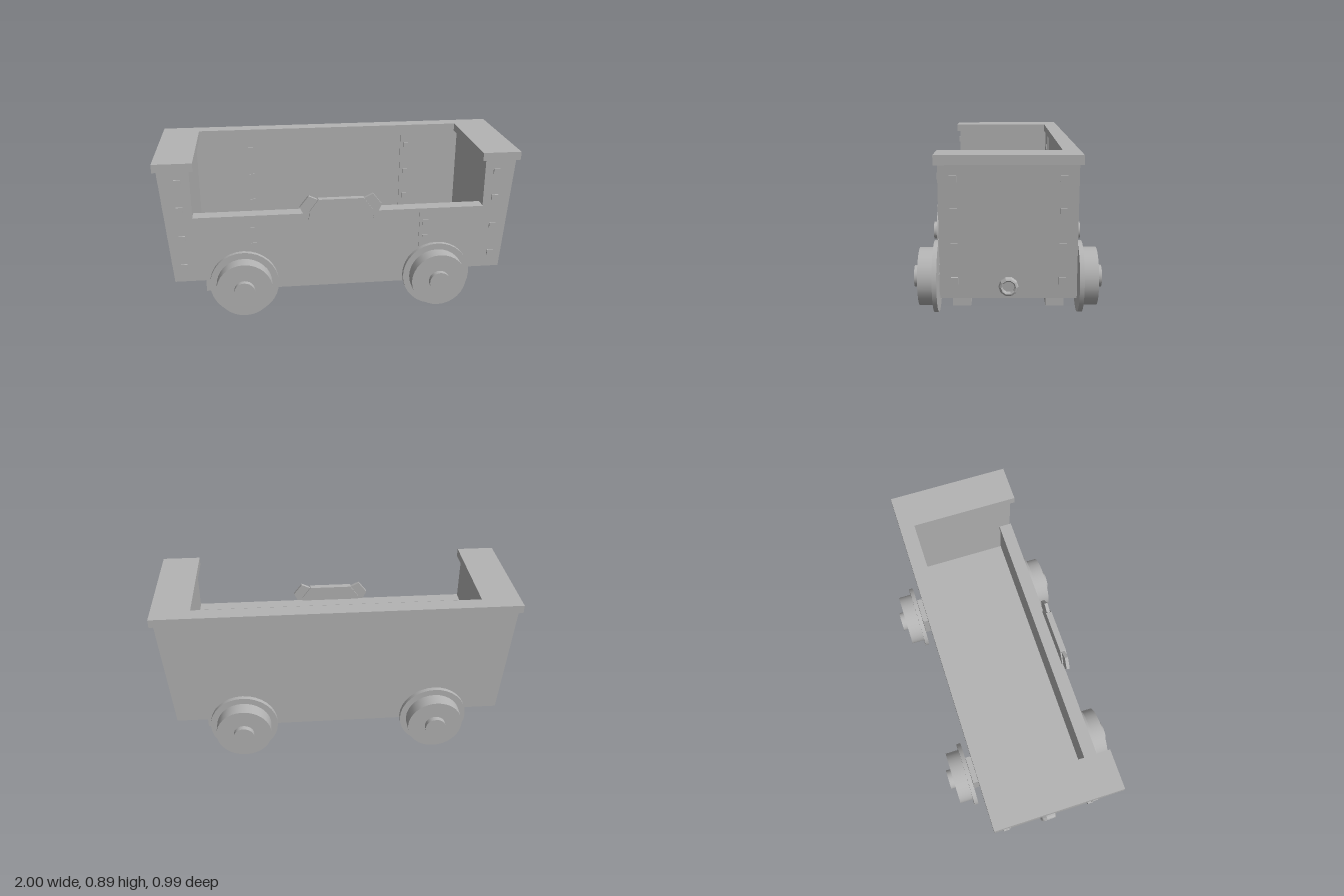
import * as THREE from 'three';

export function createModel() {
  const group = new THREE.Group();
  const grey = new THREE.MeshStandardMaterial({ color: 0xb4b4b4 });
  grey.name = 'grey';

  const add = (name, geometry, x = 0, y = 0, z = 0) => {
    const mesh = new THREE.Mesh(geometry, grey);
    mesh.name = name;
    mesh.position.set(x, y, z);
    group.add(mesh);
    return mesh;
  };
  // Box given by its limits on each axis
  const block = (name, x0, x1, y0, y1, z0, z1) =>
    add(name, new THREE.BoxGeometry(x1 - x0, y1 - y0, z1 - z0),
      (x0 + x1) / 2, (y0 + y1) / 2, (z0 + z1) / 2);
  // Flat outline in x, y with thickness from z0 to z1
  const plate = (name, points, z0, z1) => {
    const shape = new THREE.Shape(points.map(([x, y]) => new THREE.Vector2(x, y)));
    return add(name, new THREE.ExtrudeGeometry(shape, { depth: z1 - z0, bevelEnabled: false }), 0, 0, z0);
  };

  const bottom = 0.196, top = 0.85, ledgeY = 0.58, innerX = 0.81;
  const lowX = 0.932, highX = 0.981;
  const slope = (highX - lowX) / (top - bottom);
  const endX = y => lowX + (y - bottom) * slope;

  // Tub walls and floor
  plate('backWall', [[-lowX, bottom], [lowX, bottom], [highX, top], [-highX, top]], -0.328, -0.272);
  plate('frontWall', [[-lowX, bottom], [lowX, bottom], [highX, top], [innerX, top],
    [innerX, 0.555], [-innerX, 0.555], [-innerX, top], [-highX, top]], 0.27, 0.328);
  block('floor', -innerX, innerX, bottom, 0.33, -0.272, 0.27);
  block('frontLedge', -innerX, innerX, 0.555, ledgeY, 0.262, 0.336);

  // Rim along the back and over both ends
  block('backRim', -0.787, 0.787, top, 0.896, -0.346, -0.262);

  for (const s of [-1, 1]) {
    const endPoints = [[s * innerX, bottom], [s * lowX, bottom], [s * highX, top], [s * innerX, top]];
    plate('endWall', s > 0 ? endPoints : endPoints.reverse(), -0.272, 0.27);
    block('endRim', s > 0 ? 0.787 : -1, s > 0 ? 1 : -0.787, top, 0.896, -0.346, 0.346);

    // Rivets on the corner of the front and on the sloping ends
    for (const y of [0.785, 0.628, 0.458, 0.287]) {
      block('frontRivet', s * 0.875 - 0.018, s * 0.875 + 0.018, y - 0.016, y + 0.016, 0.32, 0.338);
      for (const z of [-0.257, 0.257]) {
        const rivet = add('endRivet', new THREE.BoxGeometry(0.02, 0.034, 0.034), s * endX(y), y, z);
        rivet.rotation.z = -s * Math.atan(slope);
      }
    }

    // Riveted straps on the front and inside the back wall
    const x = s * 0.483;
    block('frontStrap', x - 0.034, x + 0.034, bottom + 0.004, 0.557, 0.32, 0.333);
    block('backStrap', x - 0.034, x + 0.034, 0.32, top, -0.28, -0.265);
    for (const y of [0.495, 0.402, 0.31])
      block('strapRivet', x - 0.015, x + 0.015, y - 0.015, y + 0.015, 0.325, 0.339);
    for (const y of [0.77, 0.597, 0.43])
      block('strapRivet', x - 0.015, x + 0.015, y - 0.015, y + 0.015, -0.27, -0.257);

    // Coupling ring on each end
    const ring = new THREE.LatheGeometry([[0.03, 0], [0.03, 0.02], [0.036, 0.024], [0.044, 0.02], [0.048, 0.01], [0.048, -0.005]]
      .map(([r, h]) => new THREE.Vector2(r, h)).reverse(), 10).toNonIndexed();
    ring.computeVertexNormals();
    const coupling = add('couplingRing', ring, s * endX(0.258), 0.258, 0);
    coupling.rotation.z = -s * (Math.PI / 2 + Math.atan(slope));

    // Long beams under the floor
    block('underBeam', -0.765, 0.765, 0.102, 0.2, s * 0.234 - 0.046, s * 0.234 + 0.046);
  }

  // Shield with a small ear at each upper corner
  plate('shield', [[-0.125, 0.668], [-0.175, 0.6], [-0.178, 0.545], [-0.145, 0.43], [-0.09, 0.366],
    [0.09, 0.366], [0.145, 0.43], [0.178, 0.545], [0.175, 0.6], [0.125, 0.668]].reverse(), 0.328, 0.362);
  const ear = [[0.12, 0.66], [0.157, 0.625], [0.187, 0.537], [0.227, 0.625], [0.178, 0.688]];
  plate('leftShieldEar', ear, 0.335, 0.354);
  plate('rightShieldEar', ear.map(([x, y]) => [-x, y]).reverse(), 0.335, 0.354);

  // Axles, bearing plates and flanged wheels
  const wheelY = 0.193;
  const disc = (name, r, z0, z1, x, sides = 32) => {
    const mesh = add(name, new THREE.CylinderGeometry(r, r, Math.abs(z1 - z0), sides), x, wheelY, (z0 + z1) / 2);
    mesh.rotation.x = Math.PI / 2;
  };
  for (const x of [-0.545, 0.545]) {
    disc('axle', 0.03, -0.37, 0.37, x, 16);
    for (const s of [-1, 1]) {
      block('bearingPlate', x - 0.08, x + 0.08, 0.104, 0.275, s * 0.345 - 0.017, s * 0.345 + 0.017);
      disc('wheelFlange', 0.191, s * 0.366, s * 0.39, x);
      disc('wheelTread', 0.155, s * 0.388, s * 0.468, x);
      disc('wheelHub', 0.058, s * 0.466, s * 0.496, x, 24);
    }
  }
  return group;
}
